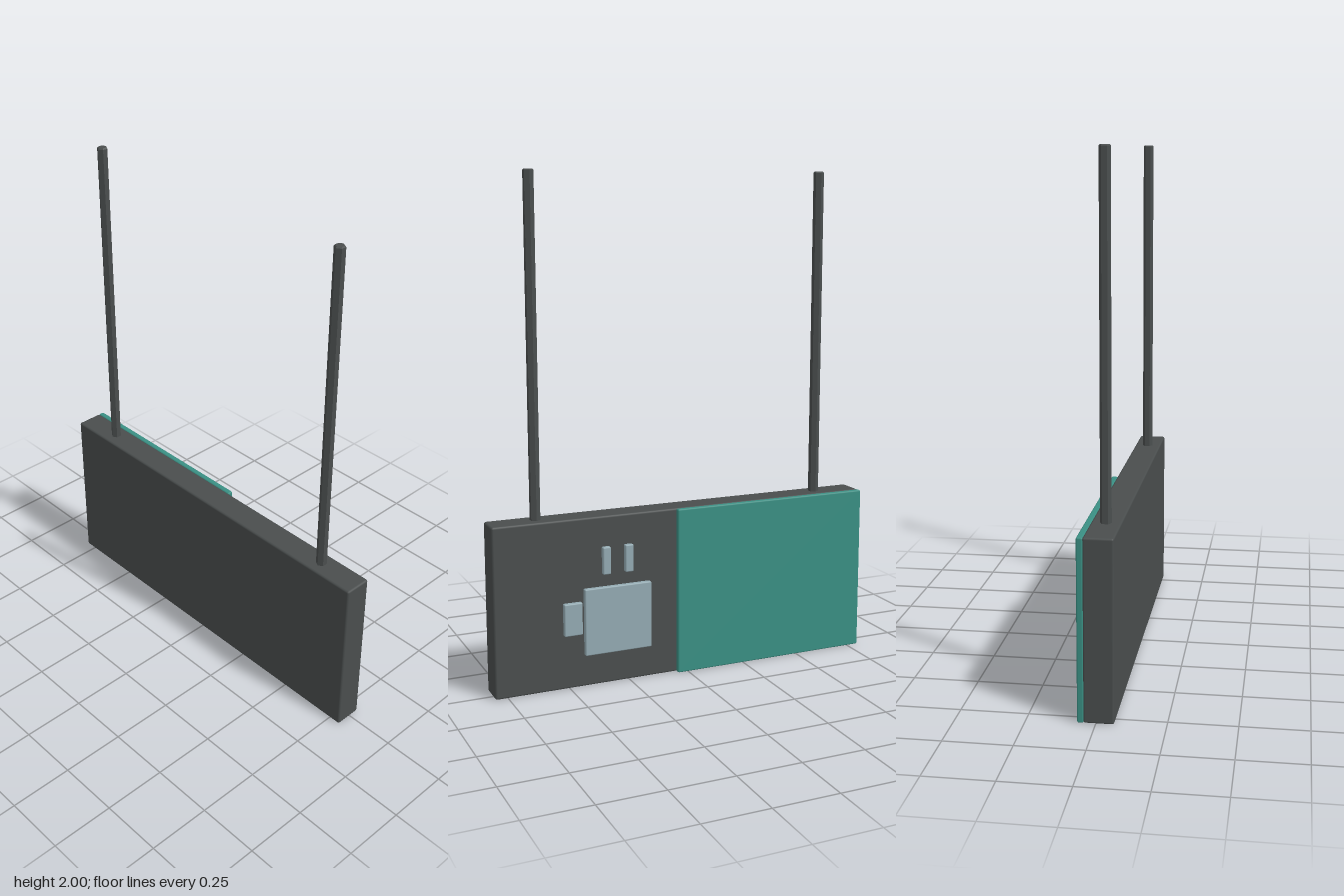
import * as THREE from 'three';
import { RoundedBoxGeometry } from 'three/addons/geometries/RoundedBoxGeometry.js';

const material = (name, color) => {
  const m = new THREE.MeshStandardMaterial({ color });
  m.name = name;
  return m;
};

export function createModel() {
  const group = new THREE.Group();
  const dark = material('dark grey', 0x4a4e4e);
  const teal = material('teal', 0x3a9084);
  const pale = material('pale grey blue', 0x94abb3);

  // Softly chamfered box given by its extents
  const slab = (name, mat, [x0, x1], [y0, y1], [z0, z1], bevel) => {
    const geo = new RoundedBoxGeometry(x1 - x0, y1 - y0, z1 - z0, 1, bevel);
    const mesh = new THREE.Mesh(geo, mat);
    mesh.position.set((x0 + x1) / 2, (y0 + y1) / 2, (z0 + z1) / 2);
    mesh.name = name;
    group.add(mesh);
  };

  // Sign board with a panel and raised blocks on its back
  slab('board', dark, [-0.8, 0.8], [0, 0.68], [-0.045, 0.066], 0.008);
  const raised = [-0.067, -0.043];
  slab('backPanel', teal, [-0.8, 0.045], [0, 0.68], raised, 0.006);
  slab('largeBlock', pale, [0.16, 0.44], [0.13, 0.4], raised, 0.005);
  slab('sideBlock', pale, [0.45, 0.525], [0.22, 0.35], raised, 0.005);
  slab('upperBlockInner', pale, [0.235, 0.27], [0.45, 0.56], raised, 0.005);
  slab('upperBlockOuter', pale, [0.33, 0.363], [0.45, 0.56], raised, 0.005);

  // Hexagonal hanging rods with a small chamfer at the top
  const profile = [[0, 0.66], [0.021, 0.66], [0.021, 1.995], [0.017, 2], [0, 2]]
    .map(([r, y]) => new THREE.Vector2(r, y));
  const rodGeometry = new THREE.LatheGeometry(profile, 6).toNonIndexed();
  rodGeometry.computeVertexNormals();
  for (const [name, x] of [['leftRod', 0.612], ['rightRod', -0.612]]) {
    const rod = new THREE.Mesh(rodGeometry, dark);
    rod.position.set(x, 0, 0.01);
    rod.name = name;
    group.add(rod);
  }
  return group;
}
